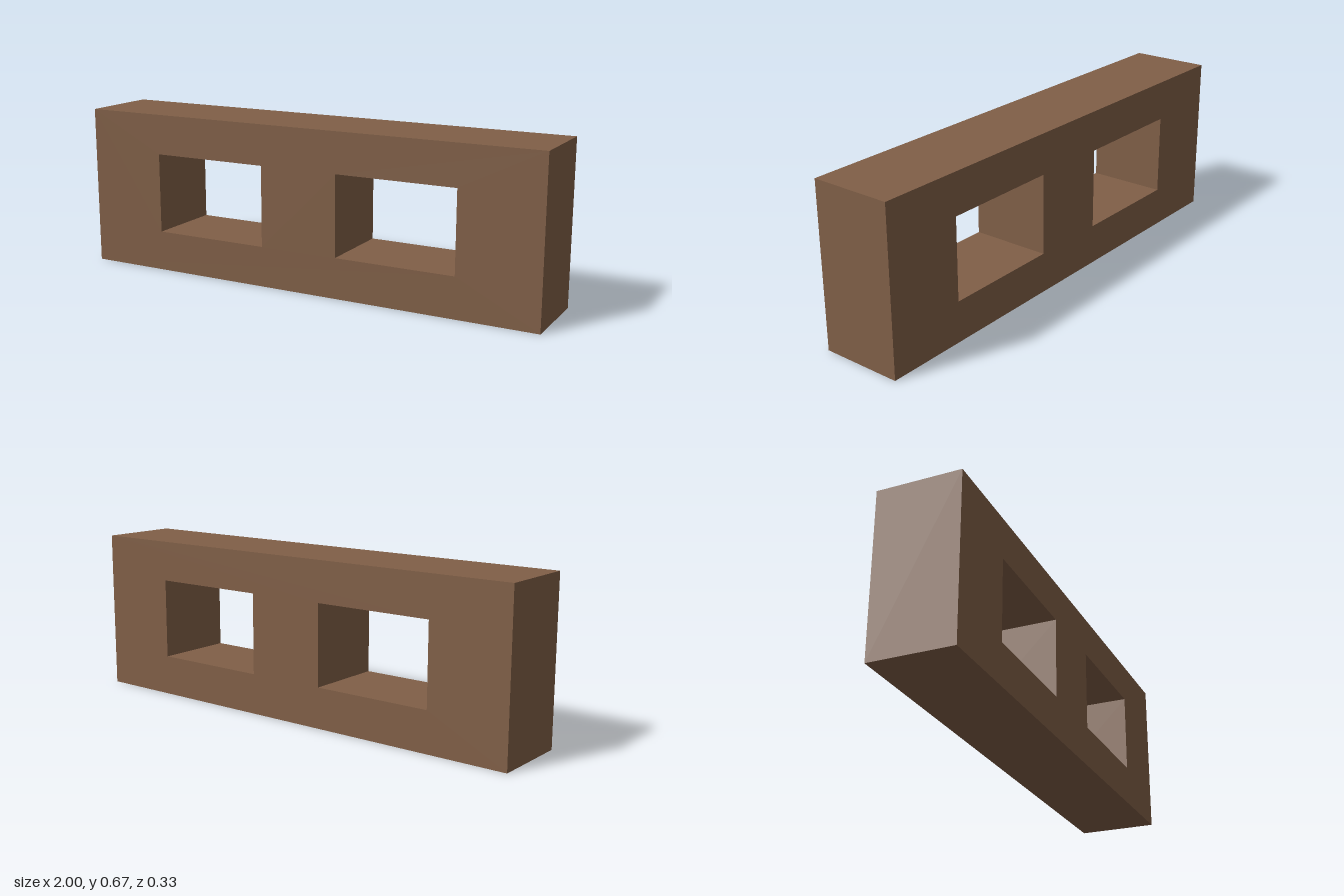
import * as THREE from 'three';

const UNIT = 1 / 6; // wall thickness; every size is a multiple of it

// Trace a rectangle from its lower left corner
function rectangle(path, x, y, width, height) {
  path.moveTo(x, y);
  path.lineTo(x + width, y);
  path.lineTo(x + width, y + height);
  path.lineTo(x, y + height);
  path.closePath();
  return path;
}

export function createModel() {
  const group = new THREE.Group();
  group.name = 'wallBlock';

  // Block outline with two window openings, mirrored about the middle
  const outline = rectangle(new THREE.Shape(), -1, 0, 2, 4 * UNIT);
  for (const x of [-4 * UNIT, UNIT]) {
    outline.holes.push(rectangle(new THREE.Path(), x, UNIT, 3 * UNIT, 2 * UNIT));
  }

  // Extruded through the depth and centred on z
  const depth = 2 * UNIT;
  const geometry = new THREE.ExtrudeGeometry(outline, { depth, bevelEnabled: false });
  geometry.translate(0, 0, -depth / 2);

  const material = new THREE.MeshStandardMaterial({ color: 0x805f47 });
  const block = new THREE.Mesh(geometry, material);
  block.name = 'blockWithTwoOpenings';
  group.add(block);

  return group;
}
